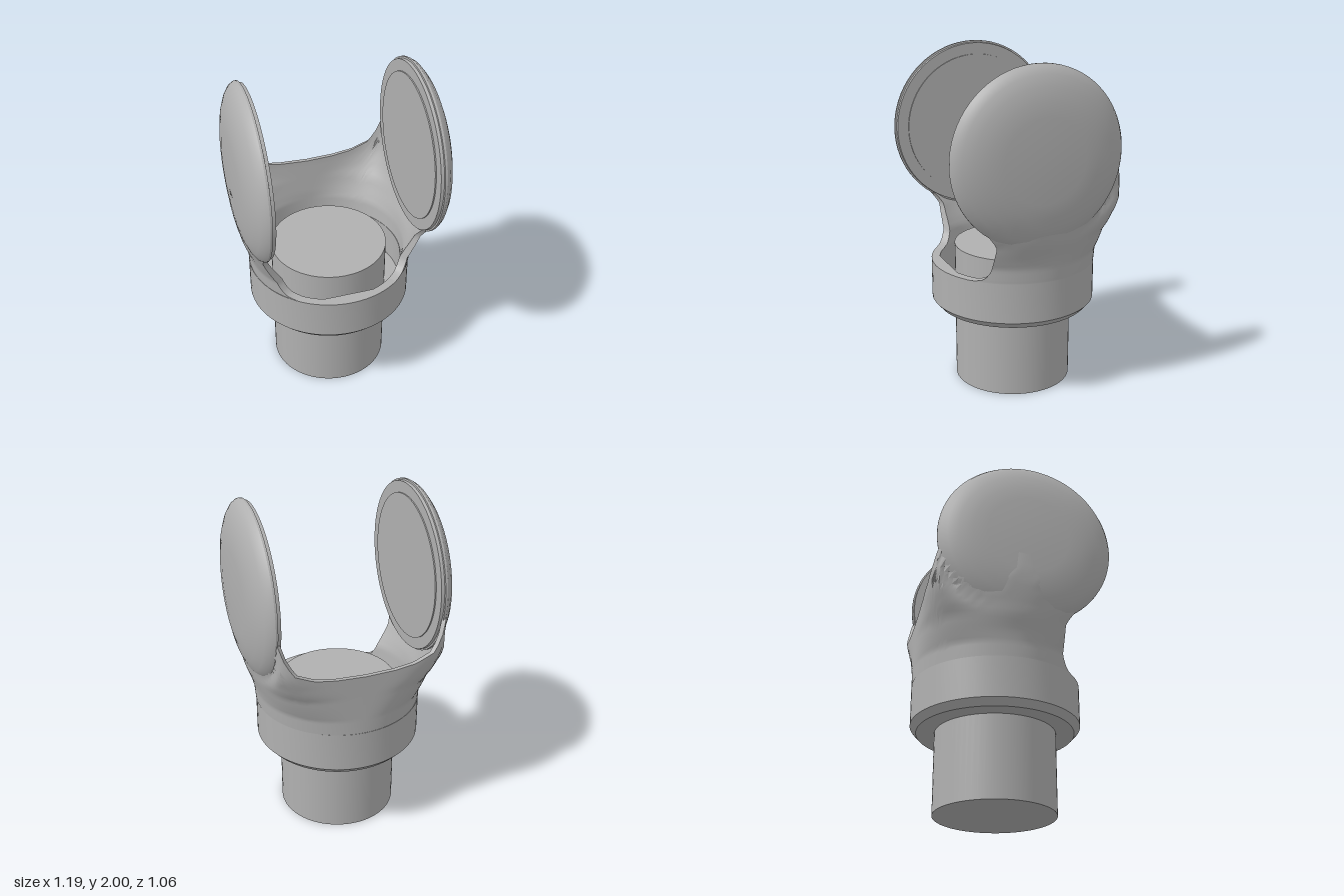
import * as THREE from 'three';
import { toCreasedNormals } from 'three/addons/utils/BufferGeometryUtils.js';

const BASE_X = -0.01, BASE_Z = -0.043;   // axis of post and collar
const DISC_Y = 1.49, DISC_Z = 0.02;      // centre of the side discs
const DEG = Math.PI / 180;

// piecewise linear lookup in [[key, value], ...]
function lookup(table, k) {
  if (k <= table[0][0]) return table[0][1];
  for (let i = 1; i < table.length; i++) {
    const [k0, v0] = table[i - 1], [k1, v1] = table[i];
    if (k <= k1) return v0 + (v1 - v0) * (k - k0) / (k1 - k0);
  }
  return table[table.length - 1][1];
}

// domed outside of a disc: radius -> x
const DOME = [[0, 0.593], [0.24, 0.59], [0.32, 0.582], [0.4, 0.563], [0.46, 0.538], [0.495, 0.513], [0.51, 0.49]];
// wall plan by height: half width, squareness, side bulge, thickness, front edge z and x
const WIDTH = [[0.76, 0.49], [0.9, 0.495], [1.0, 0.505], [1.2, 0.52]];
const SQUARE = [[0.76, 2], [0.85, 2.1], [1.0, 3], [1.1, 4.8], [1.2, 8]];
const BULGE = [[0.76, 0], [0.85, 0.003], [0.92, 0.016], [1.0, 0.037], [1.1, 0.055], [1.2, 0.068]];
const THICK = [[0.76, 0.05], [0.9, 0.045], [1.12, 0.025]];
const FRONT_Z = [[0.76, 0.34], [0.77, 0.3], [0.79, 0.277], [0.83, 0.255], [0.9, 0.24], [0.99, 0.235], [1.02, 0.25], [1.06, 0.28], [1.1, 0.32], [1.2, 0.41], [1.45, 0.48]];
const FRONT_X = [[0.76, 0.3], [0.77, 0.345], [0.79, 0.365], [0.83, 0.385], [0.9, 0.4], [1.0, 0.43], [1.1, 0.46], [1.45, 0.5]];
// upper edge of the wall by angle from the side towards the back
const TOP = [[-45, 1.3], [30, 1.4], [40, 1.42], [44, 1.36], [46, 1.28], [50, 1.2], [58, 1.155], [70, 1.137], [90, 1.13]];

// point on the wall: t 0 front edge .. 1 back middle, s 0 collar .. 1 upper edge
function wallPoint(t, s, inner) {
  const y = 0.76 + (lookup(TOP, -43 + 133 * t) - 0.76) * Math.pow(s, 1.5);
  const front = -Math.atan2(lookup(FRONT_Z, y) - BASE_Z, lookup(FRONT_X, y));
  const ang = front + (90 * DEG - front) * t;
  const n = lookup(SQUARE, y), c = Math.cos(ang), d = Math.sin(ang);
  let r = Math.pow(Math.pow(Math.abs(c) / lookup(WIDTH, y), n) + Math.pow(Math.abs(d) / 0.488, n), -1 / n);
  if (inner) r -= lookup(THICK, y);
  let x = r * c;
  const z = BASE_Z - r * d;
  // swell into the disc, but stay inside its dome and behind its inner face
  const side = THREE.MathUtils.smoothstep(x, 0.25, 0.42);
  x += lookup(BULGE, y) * Math.exp(-Math.pow(z / 0.25, 2)) * side;
  const rad = Math.hypot(y - DISC_Y, z - DISC_Z);
  const w = THREE.MathUtils.smoothstep(y, 1.0, 1.2);
  x += (Math.min(x, lookup(DOME, rad) - 0.003) - x) * w;
  if (inner && rad < 0.5) x += (Math.max(x, 0.465) - x) * w;
  return [x, y, z];
}

function wallGeometry() {
  const half = 60, cols = half * 2, rows = 26;
  const pos = [], idx = [], ring = 2 * rows + 2;
  for (let j = 0; j <= cols; j++) {
    const sign = j <= half ? 1 : -1;
    const t = (j <= half ? j : cols - j) / half;
    for (let i = 0; i < ring; i++) {
      const inner = i > rows;
      const [x, y, z] = wallPoint(t, (inner ? ring - 1 - i : i) / rows, inner);
      pos.push(sign * x + BASE_X * 0.8, y, z);
    }
  }
  const quad = (a, b, c, d) => idx.push(a, b, c, a, c, d);
  for (let j = 0; j < cols; j++) {
    for (let i = 0; i < ring - 1; i++) {
      const a = j * ring + i, b = a + ring;
      quad(a, b, b + 1, a + 1);
    }
  }
  // front edges
  const last = cols * ring;
  for (let i = 0; i < rows; i++) {
    const k = ring - 1 - i;
    quad(i, i + 1, k - 1, k);
    quad(last + k, last + k - 1, last + i + 1, last + i);
  }
  const g = new THREE.BufferGeometry();
  g.setAttribute('position', new THREE.Float32BufferAttribute(pos, 3));
  g.setIndex(idx);
  return toCreasedNormals(g, 0.7);
}

function lathe(profile, segments) {
  const g = new THREE.LatheGeometry(profile.map(([r, h]) => new THREE.Vector2(r, h)), segments);
  return toCreasedNormals(g, 0.45);
}

export function createModel() {
  const model = new THREE.Group();
  const grey = new THREE.MeshStandardMaterial({ color: 0xb0b0b0, side: THREE.DoubleSide });
  grey.name = 'grey';
  const add = (name, geometry, x, y, z) => {
    const mesh = new THREE.Mesh(geometry, grey);
    mesh.name = name;
    mesh.position.set(x, y, z);
    model.add(mesh);
    return mesh;
  };

  // round post through the collar
  add('post', new THREE.CylinderGeometry(0.35, 0.35, 0.85, 64), BASE_X, 0.425, BASE_Z);

  // hollow collar with a chamfered foot
  add('collar', lathe([[0, 0.48], [0.455, 0.48], [0.49, 0.52], [0.49, 0.76], [0.44, 0.76], [0.44, 0.56], [0, 0.56]], 72), BASE_X, 0, BASE_Z);

  // flats inside the collar, front and back
  for (const sign of [1, -1]) {
    const a = Math.acos(0.413 / 0.445);
    const segment = new THREE.Shape();
    segment.absarc(0, 0, 0.445, sign * Math.PI / 2 - a, sign * Math.PI / 2 + a, false);
    segment.closePath();
    const g = new THREE.ExtrudeGeometry(segment, { depth: 0.2, bevelEnabled: false, curveSegments: 16 });
    g.rotateX(Math.PI / 2);
    add(sign > 0 ? 'frontFlat' : 'backFlat', g, BASE_X, 0.76, BASE_Z);
  }

  // wall rising from the collar to the discs
  add('wall', wallGeometry(), 0, 0, 0);

  // domed discs with a grooved rim and a raised inner pad
  const disc = lathe([[0, 0.45], [0.43, 0.45], [0.43, 0.457], [0.498, 0.457], [0.5, 0.475], [0.51, 0.477],
    ...DOME.slice().reverse()], 72);
  for (const sign of [1, -1]) {
    const mesh = add(sign > 0 ? 'leftDisc' : 'rightDisc', disc, -0.003, DISC_Y, DISC_Z);
    mesh.rotation.z = -sign * Math.PI / 2;
  }
  return model;
}
